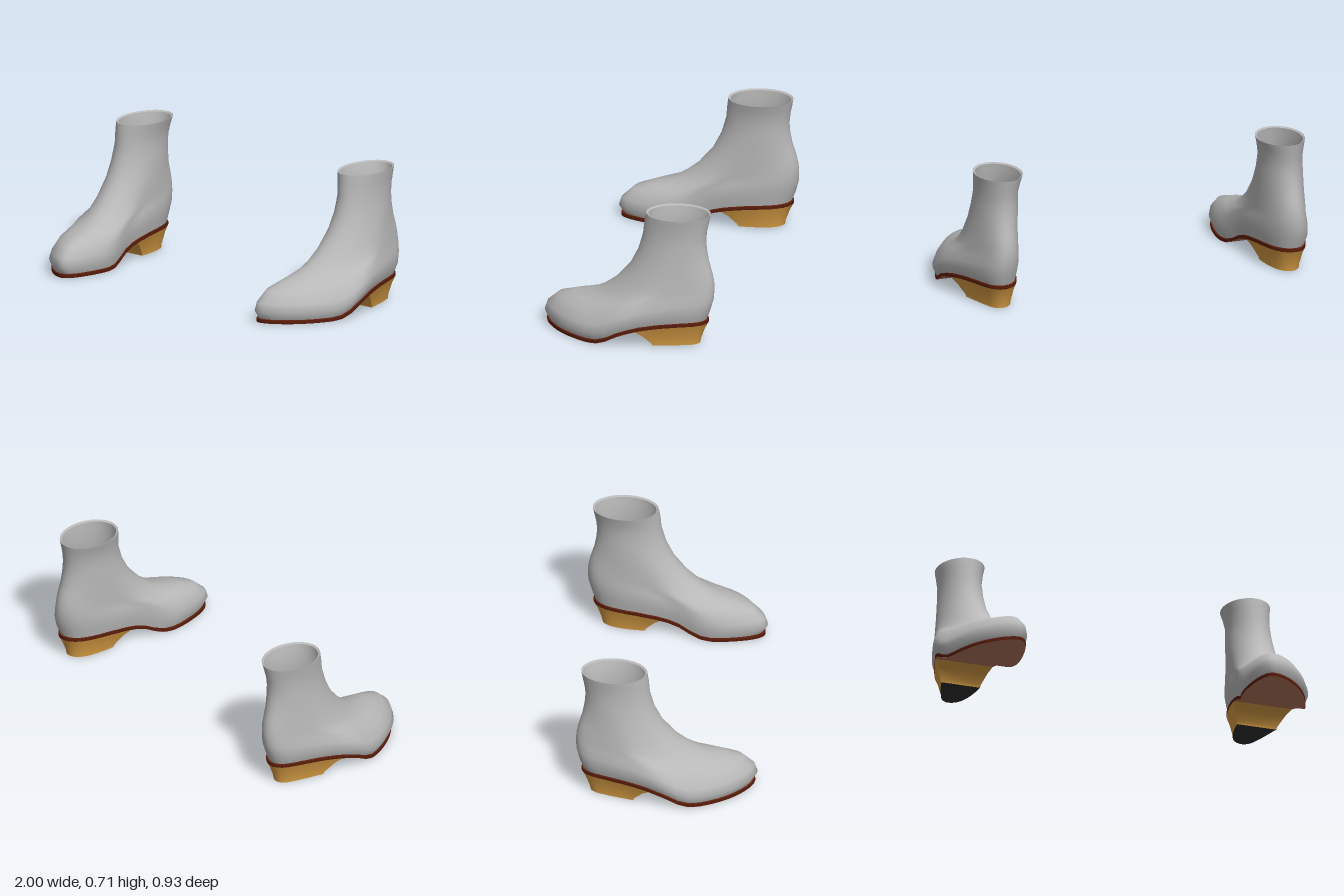
import * as THREE from 'three';
import { toCreasedNormals } from 'three/addons/utils/BufferGeometryUtils.js';

const SEG = 48;
const { lerp } = THREE.MathUtils;

// Foot outline in plan, as fractions: across (inner 0, outer 1) and along (toe 0, heel 1)
const OUTER = [0.23, 0.45, 0.71, 0.91, 1, 0.89, 0.77, 0.66, 0.51];
const INNER = [0.11, 0.03, 0, 0.1, 0.14, 0.21, 0.33];
const outline = new THREE.CatmullRomCurve3(
  [...OUTER, ...INNER.slice().reverse()].map((x, i) =>
    new THREE.Vector3(x, 0, (1 - Math.cos((i / 8) * Math.PI)) / 2)),
  true, 'catmullrom', 0.5);

// Height of the top of the sole along z, from toe to heel
const SOLE = [[0.5, 0.022], [0.16, 0.021], [0.11, 0.028], [0.06, 0.05], [0.02, 0.074],
  [-0.02, 0.094], [-0.1, 0.115], [-0.2, 0.13], [-0.3, 0.136], [-0.5, 0.142]];
function soleY(z) {
  const i = Math.max(1, SOLE.findIndex((k) => k[0] <= z));
  const [a, b] = [SOLE[i - 1], SOLE[i]];
  return lerp(a[1], b[1], (a[0] - z) / (a[0] - b[0]));
}

// Upper: front z, y; back z, y; inner x, outer x; roundness; how much it follows the sole; dip at the sides
const RINGS = [
  [0.440, 0.020, -0.428, 0.138, 0.615, 0.978, 0, 1, 0],
  [0.464, 0.060, -0.448, 0.190, 0.602, 1.000, 0, 1, 0],
  [0.450, 0.103, -0.464, 0.250, 0.603, 0.989, 0.03, 0.9, 0.014],
  [0.390, 0.160, -0.466, 0.300, 0.614, 0.970, 0.1, 0.7, 0.027],
  [0.300, 0.190, -0.464, 0.340, 0.628, 0.952, 0.22, 0.5, 0.035],
  [0.200, 0.215, -0.455, 0.385, 0.641, 0.937, 0.4, 0.2, 0.036],
  [0.135, 0.250, -0.445, 0.420, 0.649, 0.926, 0.55, 0, 0.032],
  [0.065, 0.305, -0.433, 0.460, 0.657, 0.914, 0.7, 0, 0.022],
  [-0.015, 0.400, -0.422, 0.520, 0.665, 0.900, 0.9, 0, 0.01],
  [-0.060, 0.490, -0.418, 0.570, 0.671, 0.891, 1, 0, 0],
  [-0.085, 0.580, -0.423, 0.620, 0.674, 0.886, 1, 0, 0],
  [-0.092, 0.650, -0.433, 0.670, 0.663, 0.891, 1, 0, 0],
  [-0.100, 0.697, -0.440, 0.708, 0.651, 0.896, 1, 0, 0],
  [-0.112, 0.692, -0.429, 0.702, 0.662, 0.885, 1, 0, 0],
];

function upperRing([zf, yf, zb, yb, xi, xo, round, follow, dip]) {
  return Array.from({ length: SEG }, (_, j) => {
    const t = j / SEG;
    const p = outline.getPoint(t);
    const u = lerp(p.x, 0.5 + 0.5 * Math.sin(t * Math.PI * 2), round);
    const s = lerp(p.z, (1 - Math.cos(t * Math.PI * 2)) / 2, round);
    const z = lerp(zf, zb, s);
    const sag = soleY(z) - lerp(soleY(zf), soleY(zb), s);
    return [lerp(xi, xo, u), lerp(yf, yb, s) + follow * sag - dip * Math.sin(Math.PI * s), z];
  });
}

// Point on the sole edge, t going round from the toe by the outer side
function solePoint(t, drop = 0, inset = 0) {
  const p = outline.getPoint(t);
  const z = lerp(0.452 - inset, -0.438 + inset, p.z);
  return [lerp(0.607 + inset, 0.986 - inset, p.x), soleY(z) - drop, z];
}
const soleRing = (drop, inset) =>
  Array.from({ length: SEG }, (_, j) => solePoint(j / SEG, drop, inset));

// Skin over rows of points; side -1 mirrors it to the other foot
function skin(rows, side, closed = true, flip = false) {
  const n = rows[0].length;
  const index = [];
  for (let i = 0; i < rows.length - 1; i++) {
    for (let j = 0; j < (closed ? n : n - 1); j++) {
      const k = (j + 1) % n;
      const [a, b, c, d] = [i * n + j, i * n + k, (i + 1) * n + k, (i + 1) * n + j];
      if ((side < 0) !== flip) index.push(a, c, b, a, d, c);
      else index.push(a, b, c, a, c, d);
    }
  }
  const g = new THREE.BufferGeometry();
  const pos = rows.flat().flatMap(([x, y, z]) => [x * side, y, z]);
  g.setAttribute('position', new THREE.Float32BufferAttribute(pos, 3));
  g.setIndex(index);
  g.computeVertexNormals();
  return g;
}

const material = (name, color) => {
  const m = new THREE.MeshStandardMaterial({ color, side: THREE.DoubleSide });
  m.name = name;
  return m;
};

export function createModel() {
  const grey = material('grey upper', 0xb8b8b8);
  const welt = material('dark brown welt', 0x5e1e0c);
  const leather = material('brown sole leather', 0xb4765a);
  const tan = material('tan heel', 0xd69c44);
  const black = material('black heel tip', 0x303030);

  // Heel rows taper from the sole outline down to the ground, with a straight front
  const T0 = 0.284;
  const heelRow = (down, taper) => Array.from({ length: 33 }, (_, j) => {
    const [x, y, z] = solePoint(lerp(T0, 1 - T0, j / 32), 0.019, 0.001);
    const s = (z + 0.09) / -0.347;
    return [lerp(x, 0.787 + (x - 0.787) * 0.68, taper), lerp(y, 0.003, down),
      lerp(z, lerp(-0.17, -0.392, s), taper)];
  });
  const heelRows = [heelRow(1, 1), heelRow(0.85, 0.95), heelRow(0.3, 0.42), heelRow(0, 0)];
  const tipRows = [heelRows[0].map(() => [0.787, 0.003, -0.27]), heelRows[0]];

  // Walking surface runs from the toe to the front of the heel
  const soleRows = Array.from({ length: 33 }, (_, i) => {
    const t = (i / 32) * T0;
    const a = solePoint((1 - t) % 1, 0.02, 0.001);
    const b = solePoint(t, 0.02, 0.001);
    return [0, 0.25, 0.5, 0.75, 1].map((f) => a.map((v, k) => lerp(v, b[k], f)));
  });

  const model = new THREE.Group();
  model.name = 'pairOfBoots';
  for (const side of [1, -1]) {
    const boot = new THREE.Group();
    boot.name = side > 0 ? 'leftBoot' : 'rightBoot';
    const add = (name, geometry, mat) => {
      const mesh = new THREE.Mesh(geometry, mat);
      mesh.name = name;
      boot.add(mesh);
    };
    add('upper', toCreasedNormals(skin(RINGS.map(upperRing), side), 1.2), grey);
    add('welt', toCreasedNormals(skin(
      [soleRing(0.02, 0.001), soleRing(0.017, 0), soleRing(0.002, 0), soleRing(0, 0.01)], side), 0.7), welt);
    add('sole', skin(soleRows, side, false, true), leather);
    add('heel', toCreasedNormals(skin(heelRows, side), 0.7), tan);
    add('heelTip', skin(tipRows, side), black);
    model.add(boot);
  }
  return model;
}
